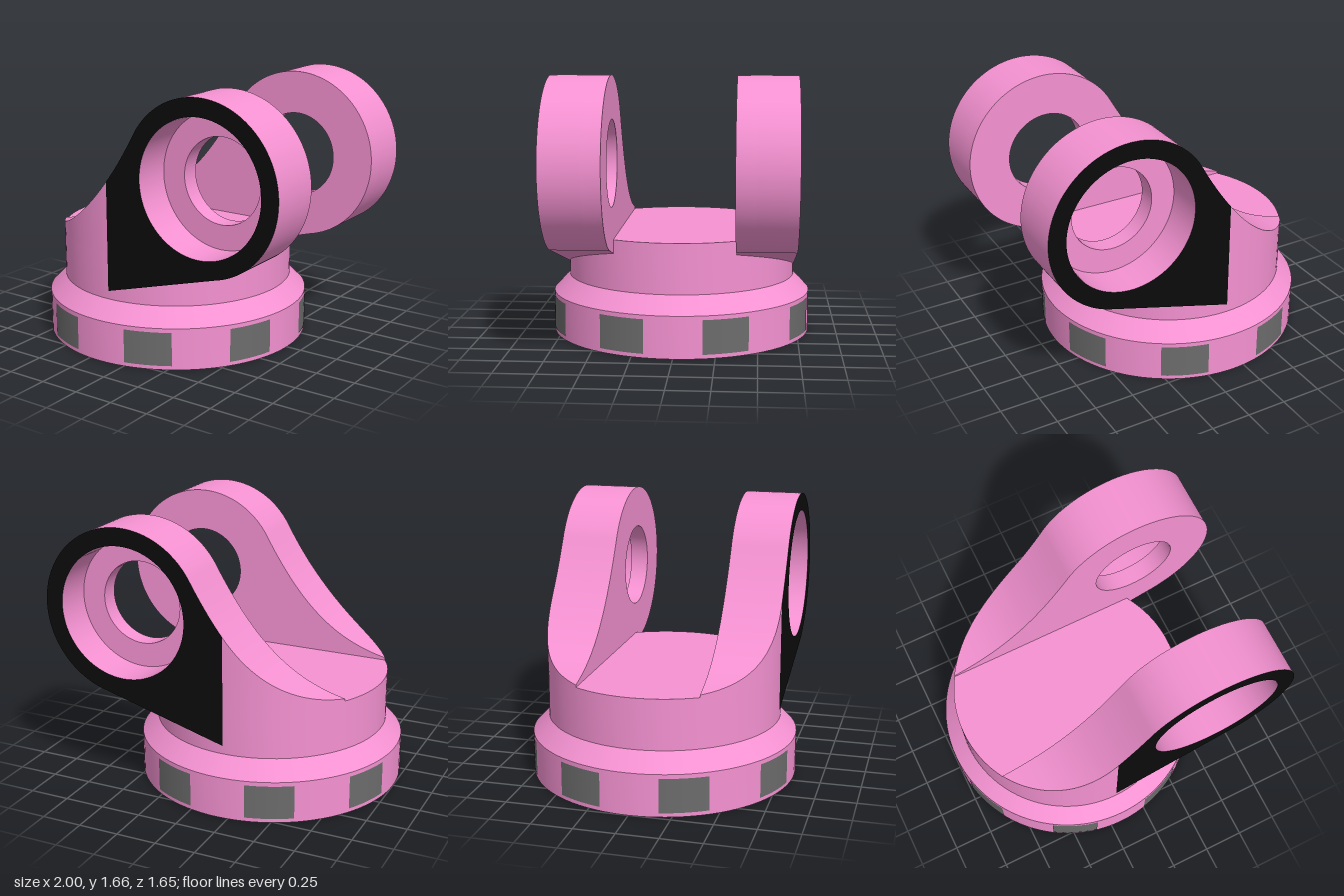
import * as THREE from 'three';
import { toCreasedNormals } from 'three/addons/utils/BufferGeometryUtils.js';

const CX = -0.175;            // axis of the round base
const R = 0.725;              // radius of the collar, also outer face of the arms
const INNER = 0.37;           // inner face of the arms
const RECESS = 0.485;         // floor of the bearing recess
const EYE = { x: 0.48, y: 1.14, r: 0.52 };

const pink = new THREE.MeshStandardMaterial({ color: 0xf592d2 });
const grey = new THREE.MeshStandardMaterial({ color: 0x6c6c6c });
const black = new THREE.MeshStandardMaterial({ color: 0x0b0b0b });

// Concave upper edge of the arms, from the collar up to the eye
const topPoints = new THREE.CubicBezierCurve(
  new THREE.Vector2(-0.8, 0.69), new THREE.Vector2(-0.45, 0.765),
  new THREE.Vector2(-0.22, 0.967), new THREE.Vector2(0.03, 1.4)
).getPoints(60);

function topY(x) {
  const i = Math.max(1, topPoints.findIndex((p) => p.x >= x));
  const a = topPoints[i - 1], b = topPoints[i];
  return a.y + (b.y - a.y) * (x - a.x) / (b.x - a.x);
}

function mesh(name, geometry, material) {
  const m = new THREE.Mesh(geometry, material);
  m.name = name;
  return m;
}

// Flat part of an arm: wedge running tangentially into the round eye
function eyePlate(holeRadius, z0, z1) {
  const s = new THREE.Shape();
  s.moveTo(CX, 0.415);
  s.lineTo(0.621, 0.64);
  s.absarc(EYE.x, EYE.y, EYE.r, -1.295, Math.PI * 5 / 6, false);
  for (let i = 1; i <= 10; i++) {
    const x = 0.03 + (CX - 0.03) * i / 10;
    s.lineTo(x, topY(x));
  }
  const hole = new THREE.Path();
  hole.absarc(EYE.x, EYE.y, holeRadius, 0, Math.PI * 2, true);
  s.holes.push(hole);
  const g = new THREE.ExtrudeGeometry(s, { depth: z1 - z0, bevelEnabled: false, curveSegments: 64 });
  g.translate(0, 0, z0);
  return toCreasedNormals(g, 0.5);
}

// Rear part of an arm: swept up from the collar, its outside following the round wall
function rootGeometry() {
  const steps = 36, maxAngle = Math.acos(INNER / R), pos = [];
  const section = (i) => {
    const a = maxAngle * (1 - i / steps);
    const x = CX - R * Math.sin(a), z = R * Math.cos(a), y = topY(x);
    return [[x, 0.66, INNER], [x, y, INNER], [x, y, z], [x, 0.66, z]];
  };
  for (let i = 0; i < steps; i++) {
    const a = section(i), b = section(i + 1);
    for (let k = 0; k < 3; k++) {
      pos.push(...a[k], ...a[k + 1], ...b[k + 1], ...a[k], ...b[k + 1], ...b[k]);
    }
  }
  const g = new THREE.BufferGeometry();
  g.setAttribute('position', new THREE.Float32BufferAttribute(pos, 3));
  return toCreasedNormals(g, 0.5);
}

function arm(name) {
  const g = new THREE.Group();
  g.name = name;
  g.add(
    mesh('innerEyePlate', eyePlate(0.26, INNER, RECESS), pink),
    mesh('outerEyePlate', eyePlate(0.41, RECESS, R), [black, pink]),
    mesh('armRoot', rootGeometry(), pink)
  );
  return g;
}

export function createModel() {
  const model = new THREE.Group();
  model.name = 'forkBracket';

  // Hollow base with chamfered shoulder and collar
  const profile = [[0, 0.41], [0.67, 0.41], [0.67, 0], [0.825, 0], [0.825, 0.26], [R, 0.365], [R, 0.675], [0, 0.675]]
    .map(([x, y]) => new THREE.Vector2(x, y));
  const base = mesh('base', toCreasedNormals(new THREE.LatheGeometry(profile, 96), 0.5), pink);
  base.position.x = CX;
  model.add(base);

  // Eight grip pads around the rim
  const padAngle = THREE.MathUtils.degToRad(20.4);
  for (let i = 0; i < 8; i++) {
    const start = (i + 0.5) * Math.PI / 4 - padAngle / 2;
    const pad = mesh('gripPad', new THREE.CylinderGeometry(0.827, 0.827, 0.21, 8, 1, true, start, padAngle), grey);
    pad.position.set(CX, 0.13, 0);
    model.add(pad);
  }

  // Mirrored pair of arms
  const front = arm('frontArm');
  const back = arm('backArm');
  back.scale.z = -1;
  model.add(front, back);

  return model;
}
